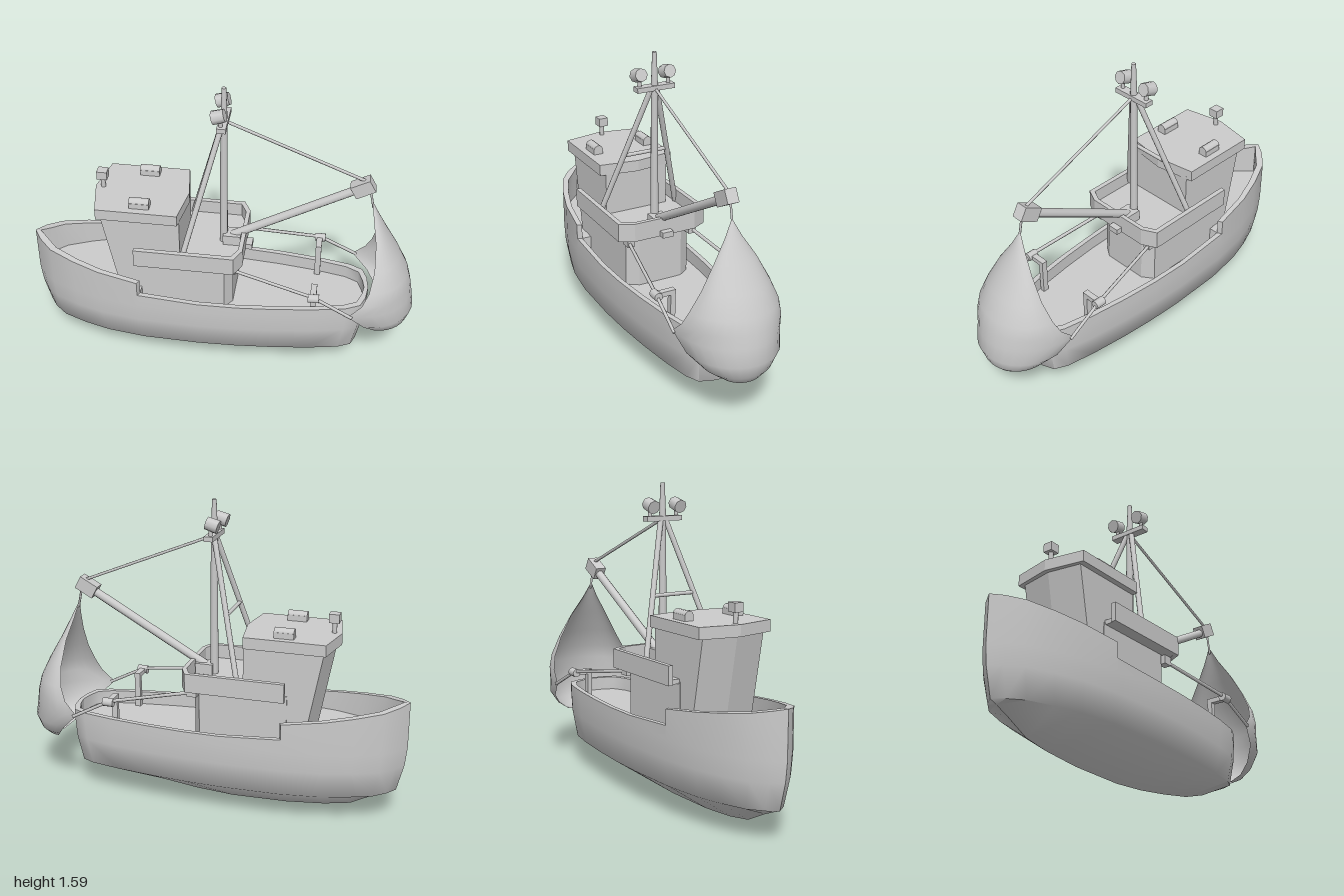
import * as THREE from 'three';
import { toCreasedNormals } from 'three/addons/utils/BufferGeometryUtils.js';

const V = (x, y, z) => new THREE.Vector3(x, y, z);
const grey = new THREE.MeshStandardMaterial({ color: 0xcccccc });
const greyThin = new THREE.MeshStandardMaterial({ color: 0xcccccc, side: THREE.DoubleSide });

export function createModel() {
  const model = new THREE.Group();

  function add(name, geometry, material = grey) {
    const mesh = new THREE.Mesh(geometry, material);
    mesh.name = name;
    model.add(mesh);
    return mesh;
  }
  function box(name, w, h, d, x, y, z, tilt = 0) {
    const mesh = add(name, new THREE.BoxGeometry(w, h, d));
    mesh.position.set(x, y, z);
    mesh.rotation.z = tilt;
    return mesh;
  }
  // Round bar between two points
  function rod(name, a, b, r, rEnd = r, sides = 10) {
    const mesh = add(name, new THREE.CylinderGeometry(rEnd, r, a.distanceTo(b), sides));
    mesh.position.copy(a).lerp(b, 0.5);
    mesh.quaternion.setFromUnitVectors(V(0, 1, 0), b.clone().sub(a).normalize());
    return mesh;
  }
  // Upright prism over a plan outline of [x, z] corners
  function prism(plan, y0, y1) {
    const shape = new THREE.Shape(plan.map(([x, z]) => new THREE.Vector2(x, -z)));
    const g = new THREE.ExtrudeGeometry(shape, { depth: y1 - y0, bevelEnabled: false });
    return g.rotateX(-Math.PI / 2).translate(0, y0, 0);
  }
  const mirrored = half => [...half, ...half.map(([x, z]) => [x, -z]).reverse()];

  // Grid of points (rows of equal length) joined into a surface
  function loft(rows, flip = false) {
    const n = rows[0].length, index = [];
    for (let i = 0; i < rows.length - 1; i++) {
      for (let j = 0; j < n - 1; j++) {
        const a = i * n + j, b = a + n, c = b + 1, d = a + 1;
        if (flip) index.push(a, d, c, a, c, b);
        else index.push(a, b, c, a, c, d);
      }
    }
    const g = new THREE.BufferGeometry().setFromPoints(rows.flat());
    g.setIndex(index);
    g.computeVertexNormals();
    return g;
  }

  // Hull stations: x, half beam, rail height, keel height, deck height
  const stations = [
    [-1, 0, 0.64, 0.16, 0.47], [-0.96, 0.06, 0.63, 0.145, 0.47], [-0.89, 0.125, 0.615, 0.115, 0.47],
    [-0.76, 0.18, 0.595, 0.05, 0.47], [-0.62, 0.222, 0.575, 0.025, 0.47],
    [-0.41, 0.253, 0.55, 0.006, 0.47], [-0.41, 0.253, 0.47, 0.006, 0.38],
    [-0.1, 0.262, 0.453, 0, 0.38], [0.1, 0.255, 0.45, 0.013, 0.38],
    [0.3, 0.238, 0.45, 0.038, 0.38], [0.5, 0.212, 0.45, 0.07, 0.38],
    [0.66, 0.18, 0.45, 0.115, 0.38], [0.73, 0.145, 0.45, 0.145, 0.38],
    [0.755, 0.08, 0.45, 0.157, 0.38], [0.765, 0, 0.45, 0.16, 0.38],
  ];
  for (const s of [1, -1]) {
    const rows = stations.map(([x, w, top, keel, deck]) => {
      const inner = Math.max(w - 0.025, 0), xi = x * 0.972;
      return [
        V(x * 0.955, keel, 0), V(x * 0.955, 0.16, s * w * 0.89), V(x * 0.99, 0.3, s * w * 0.985),
        V(x, 0.4, s * w), V(x, top, s * w), V(xi, top, s * inner), V(xi, deck, s * inner), V(xi, deck, 0),
      ];
    });
    add(s > 0 ? 'hullFrontSide' : 'hullBackSide', toCreasedNormals(loft(rows, s < 0), 1.0));
  }

  // Wheelhouse with raked front, pointed at both ends
  const house = prism(mirrored([[-0.53, 0], [-0.5, 0.175], [-0.22, 0.175], [-0.19, 0]].slice(1, 3))
    .concat([[-0.53, 0]]), 0.4, 0.92);
  const p = house.attributes.position;
  for (let i = 0; i < p.count; i++) {
    if (p.getX(i) < -0.4) p.setX(i, p.getX(i) - (p.getY(i) - 0.4) * 0.19);
    else p.setX(i, p.getX(i) + 0.025);
  }
  house.computeVertexNormals();
  add('wheelhouse', house);
  add('wheelhouseRoof', prism([[-0.65, 0], [-0.61, 0.205], [-0.2, 0.205], [-0.17, 0],
    [-0.2, -0.205], [-0.61, -0.205]], 0.905, 0.963));

  // Lower deckhouse, boat deck and its parapet
  add('deckhouse', prism(mirrored([[-0.42, 0.178], [0.03, 0.178], [0.07, 0.12]]), 0.36, 0.67));
  add('boatDeck', prism(mirrored([[-0.41, 0.235], [0.08, 0.235], [0.115, 0.165]]), 0.662, 0.685));
  add('parapet', prism([
    ...mirrored([[-0.42, 0.245], [0.085, 0.245], [0.122, 0.17]]),
    ...mirrored([[-0.42, 0.22], [0.07, 0.22], [0.1, 0.16]]).reverse(),
  ], 0.66, 0.757));
  box('aftBracket', 0.05, 0.03, 0.06, 0.13, 0.675, 0);

  // Roof fittings
  for (const s of [1, -1]) {
    box('skylight', 0.1, 0.035, 0.05, -0.395, 0.975, s * 0.145);
    rod('skylightTop', V(-0.445, 0.987, s * 0.145), V(-0.345, 0.987, s * 0.145), 0.025);
  }
  rod('searchlightPost', V(-0.61, 0.95, 0), V(-0.61, 1.03, 0), 0.012);
  box('searchlight', 0.052, 0.045, 0.05, -0.61, 1.04, 0);

  // Mast with crossarm, floodlights and legs
  rod('mastLower', V(0.005, 0.67, 0), V(0.005, 1.42, 0), 0.021, 0.017);
  rod('mastTop', V(0.005, 1.4, 0), V(0.005, 1.585, 0), 0.018, 0.011);
  box('crossarm', 0.045, 0.025, 0.205, 0.005, 1.408, 0);
  const onLeg = (t, s) => V(-0.185 * t, 1.4 - 0.71 * t, s * (0.015 + 0.21 * t));
  for (const s of [1, -1]) {
    rod('mastLeg', onLeg(0, s), onLeg(1, s), 0.014);
    rod('floodlightPost', V(0, 1.41, s * 0.078), V(0, 1.45, s * 0.078), 0.01);
    rod('floodlight', V(-0.04, 1.465, s * 0.078), V(0.02, 1.483, s * 0.078), 0.035, 0.033, 8);
  }
  rod('legBrace', onLeg(0.51, 1), onLeg(0.51, -1), 0.01);

  // Derrick boom, tip block and hoisting wires
  box('boomFoot', 0.09, 0.06, 0.08, 0.05, 0.71, 0);
  rod('boom', V(0.05, 0.725, 0), V(0.69, 1.085, 0), 0.022);
  box('boomTip', 0.105, 0.07, 0.06, 0.69, 1.088, 0, 0.5);
  rod('toppingWire', V(0.01, 1.405, 0), V(0.71, 1.12, 0), 0.008, 0.008, 6);
  rod('netWire', V(0.725, 1.08, 0), V(0.748, 0.97, 0), 0.006, 0.006, 6);

  // Side davits and trawl wires
  for (const s of [1, -1]) {
    box('davitPost', 0.03, 0.19, 0.025, 0.49, 0.475, s * 0.165);
    box('davitArm', 0.03, 0.025, 0.1, 0.49, 0.558, s * 0.2);
    rod('davitPulley', V(0.465, 0.56, s * 0.25), V(0.52, 0.56, s * 0.25), 0.022);
    box('wireFairlead', 0.05, 0.045, 0.04, 0.065, 0.64, s * 0.175);
    const bend = V(0.49, 0.565, s * 0.25);
    rod('trawlWire', V(0.07, 0.637, s * 0.18), bend, 0.009, 0.009, 6);
    rod('trawlWireEnd', bend, V(0.69, 0.46, s * 0.26), 0.009, 0.009, 6);
  }

  // Hanging net: curved sheet, rows of y, edge x, belly x, half width
  const netRows = [
    [1.0, 0.742, 0.746, 0.003], [0.92, 0.757, 0.785, 0.045], [0.82, 0.777, 0.835, 0.11],
    [0.7, 0.782, 0.905, 0.175], [0.6, 0.765, 0.955, 0.225], [0.53, 0.735, 0.975, 0.247],
    [0.465, 0.67, 0.987, 0.26], [0.38, 0.755, 1.0, 0.232], [0.31, 0.815, 0.978, 0.17],
    [0.265, 0.855, 0.945, 0.1], [0.247, 0.88, 0.91, 0.02],
  ];
  const net = netRows.map(([y, edge, belly, w]) => Array.from({ length: 17 }, (_, i) => {
    const a = (i / 16 - 0.5) * Math.PI;
    return V(edge + (belly - edge) * Math.cos(a), y, w * Math.sin(a));
  }));
  add('net', loft(net, true), greyThin);

  return model;
}
